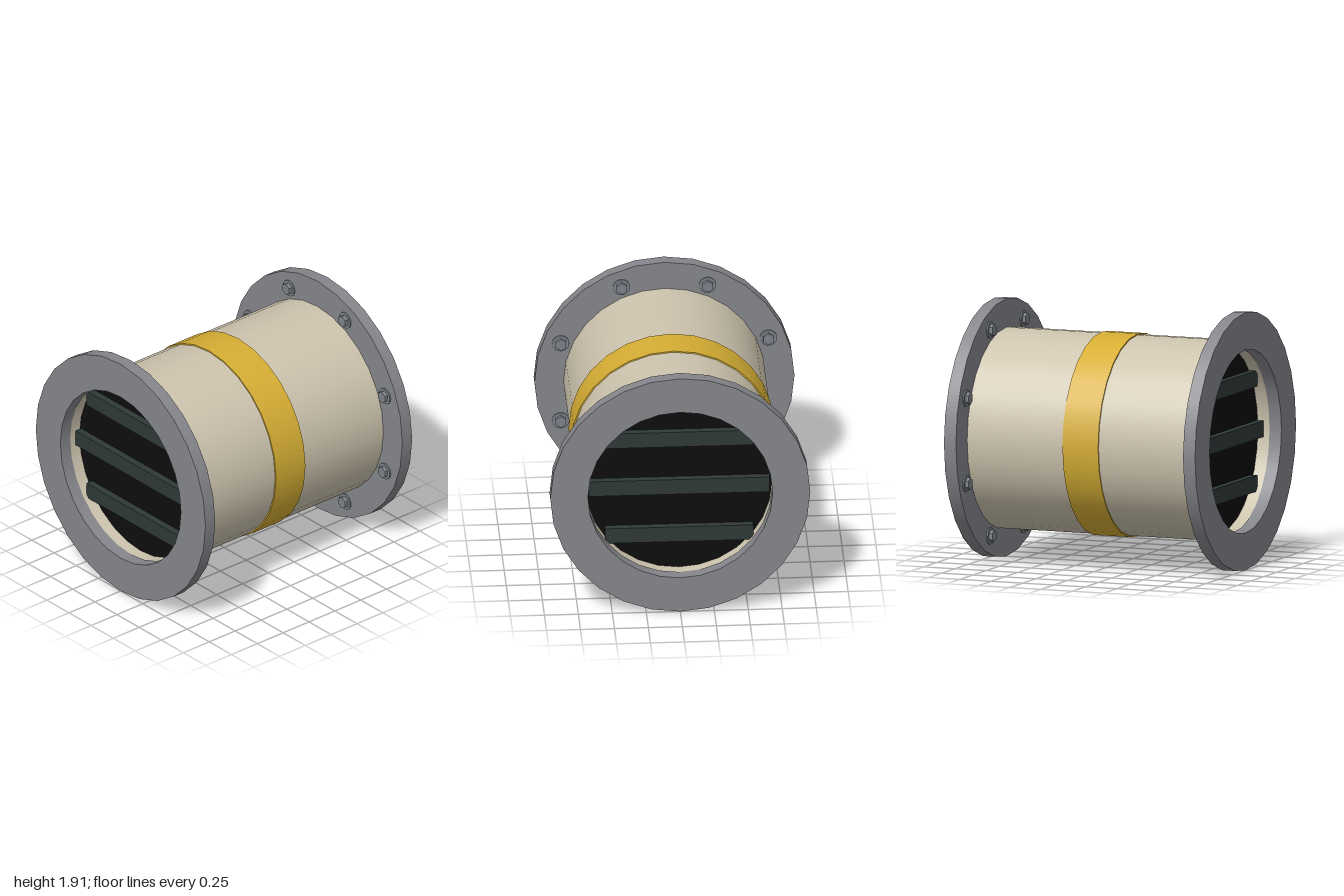
import * as THREE from 'three';
import { mergeGeometries } from 'three/addons/utils/BufferGeometryUtils.js';

const SIDES = 28, CENTER_Y = 0.957;

const material = (name, color) => {
  const m = new THREE.MeshStandardMaterial({ color });
  m.name = name;
  return m;
};

// Hollow ring along z with crisp rims and smooth round walls
function ringGeometry(inner, outer, z0, z1) {
  const profile = [[outer, z0], [outer, z1], [inner, z1], [inner, z0], [outer, z0]]
    .map(([r, z]) => new THREE.Vector2(r, z));
  const walls = [];
  for (let i = 0; i < 4; i++) {
    walls.push(new THREE.LatheGeometry([profile[i], profile[i + 1]], SIDES));
  }
  return mergeGeometries(walls).rotateX(Math.PI / 2);
}

// Solid round or hexagonal piece along z
const diskGeometry = (radius, z0, z1, sides) =>
  new THREE.CylinderGeometry(radius, radius, z1 - z0, sides)
    .rotateX(Math.PI / 2).translate(0, 0, (z0 + z1) / 2);

export function createModel() {
  const flangeGray = material('flange gray', 0x85868b);
  const boltGray = material('bolt gray', 0x7d838a);
  const beige = material('duct beige', 0xcdc4ae);
  const gold = material('band yellow', 0xd6ae34);
  const black = material('vent black', 0x0d0d0d);
  const slatGreen = material('slat dark green', 0x2e3937);

  const model = new THREE.Group();
  model.name = 'flangedDuct';
  const add = (parent, name, geometry, mat) => {
    const mesh = new THREE.Mesh(geometry, mat);
    mesh.name = name;
    parent.add(mesh);
    return mesh;
  };

  // Duct wall and painted middle band
  add(model, 'ductBody', ringGeometry(0.685, 0.743, -0.91, 0.91), beige);
  add(model, 'middleBand', ringGeometry(0.735, 0.753, -0.142, 0.142), gold);

  // Hexagonal bolt head on a thin washer
  const washer = diskGeometry(0.063, 0.895, 0.906, 16);
  const head = diskGeometry(0.045, 0.868, 0.896, 6).toNonIndexed();
  head.computeVertexNormals();

  // Both ends are the same, turned half round
  for (const [name, turn] of [['frontEnd', 0], ['backEnd', Math.PI]]) {
    const end = new THREE.Group();
    end.name = name;
    end.rotation.y = turn;
    model.add(end);

    add(end, 'flange', ringGeometry(0.68, 0.9565, 0.905, 1), flangeGray);
    add(end, 'ventBacking', diskGeometry(0.687, 0.77, 0.81, SIDES), black);

    // Three horizontal slats, the middle one wider
    for (const [y, width] of [[-0.389, 1.09], [0, 1.33], [0.389, 1.09]]) {
      add(end, 'ventSlat', new THREE.BoxGeometry(width, 0.12, 0.065), slatGreen)
        .position.set(0, y, 0.8325);
    }

    // Eight bolts on the inner face of the flange
    for (let i = 0; i < 8; i++) {
      const a = (i + 0.5) * Math.PI / 4;
      const bolt = new THREE.Group();
      bolt.name = 'bolt';
      bolt.position.set(Math.cos(a) * 0.827, Math.sin(a) * 0.827, 0);
      add(bolt, 'boltWasher', washer, boltGray);
      add(bolt, 'boltHead', head, boltGray);
      end.add(bolt);
    }
  }

  model.position.y = CENTER_Y;
  const root = new THREE.Group();
  root.name = 'duct';
  root.add(model);
  return root;
}
